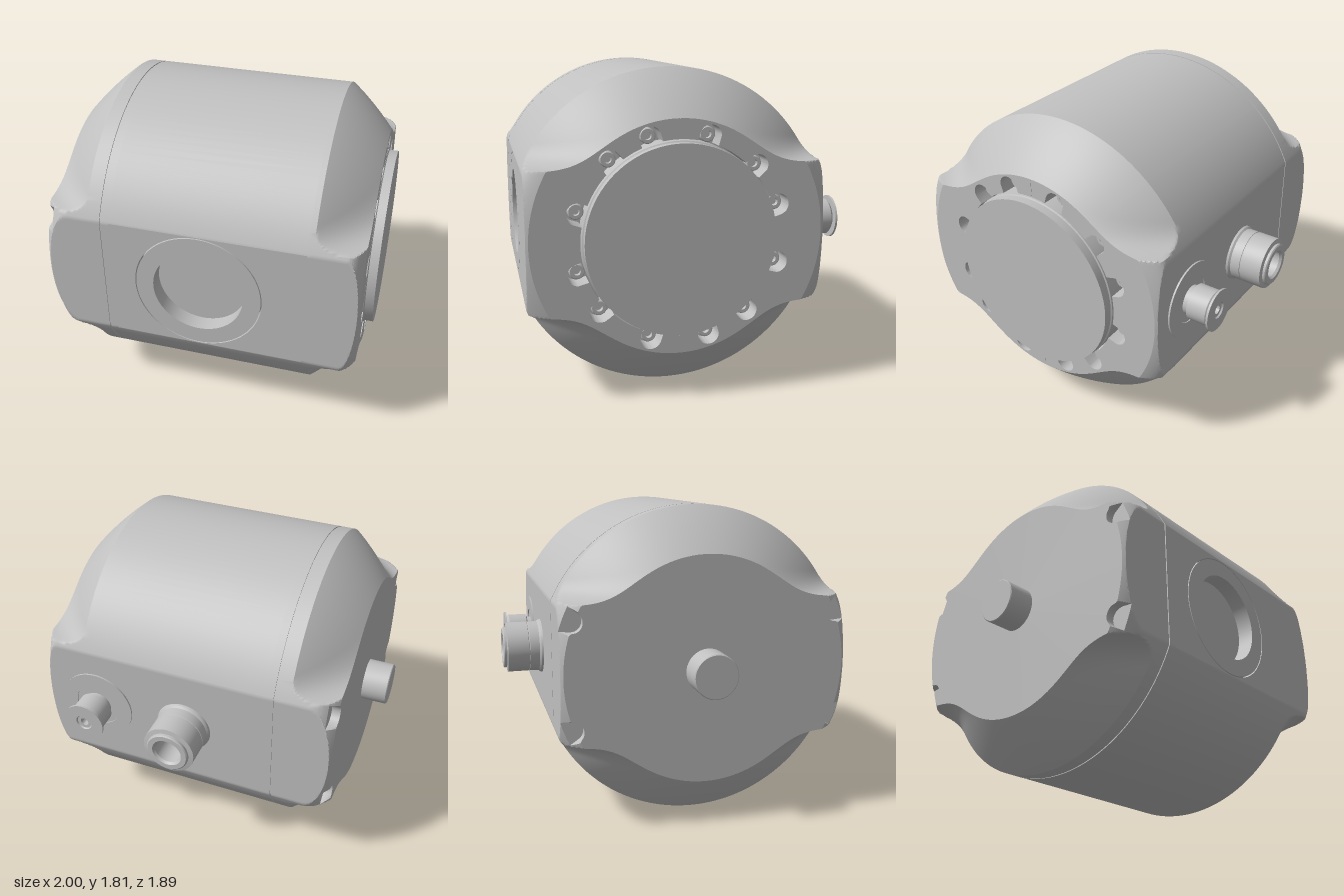
import * as THREE from 'three';
import { toCreasedNormals } from 'three/addons/utils/BufferGeometryUtils.js';

const RAD = 0.905, FLAT = 0.825, BAND = 0.395;      // drum radius, side flats, end block half height
const X0 = -0.845, X1 = 0.945, SCOOP_X = -0.795;
const PANEL = [-0.45, 0.65];                         // front panel span along x
const POCKET = 0.13;                                 // depth of the bolt pockets
const CORNER = Math.acos(FLAT / RAD);
const DEG = Math.PI / 180;

const smax = (a, b, k) => {
  const h = Math.max(k - Math.abs(a - b), 0) / k;
  return Math.max(a, b) + h * h * k / 4;
};

// Distance along a ray to a circle of radius rho centred at distance d, off by angle delta
const rayCircle = (delta, d, rho, sign) => {
  const q = rho * rho - (d * Math.sin(delta)) ** 2;
  return q < 0 || Math.cos(delta) < 0 ? null : d * Math.cos(delta) + sign * Math.sqrt(q);
};

// Radius of the housing at station x and angle a (0 = front, 90 deg = up)
function housingRadius(x, a, scooped = false, inset = 0) {
  const c = Math.abs(Math.cos(a)), s = Math.abs(Math.sin(a));
  const t = Math.max((x - 0.68) / 0.265, (-0.585 - x) / 0.26, 0);
  const shoulder = RAD - 0.255 * (0.8 * t + 0.2 * t * t);
  const round = RAD - 0.095 * Math.max((x - 0.86) / 0.085, (-0.7 - x) / 0.145, 0) ** 2;
  let r = Math.min(FLAT / Math.max(c, 1e-6), round, smax(shoulder, BAND / Math.max(s, 1e-6), 0.2));
  if (scooped) {
    const near = rayCircle(Math.atan2(s, c) - Math.atan2(0.305, 0.76), 0.819, 0.06, -1);
    if (near !== null) r = Math.min(r, near);
  }
  return r - inset;
}

// Angles with extra samples around the flats and the block walls
function angleList() {
  const q = [];
  for (let i = 0; i < 30; i++) q.push(CORNER * i / 30);
  for (let i = 0; i < 34; i++) q.push(CORNER + (50 * DEG - CORNER) * i / 34);
  for (let i = 0; i < 14; i++) q.push(50 * DEG + 40 * DEG * i / 14);
  const half = [...q, Math.PI / 2, ...q.slice(1).reverse().map(a => Math.PI - a)];
  return [...half, Math.PI, ...half.slice(1).reverse().map(a => 2 * Math.PI - a), 2 * Math.PI];
}

function housingGeometry(angles) {
  const st = [];
  const add = (x, scooped, inset) => st.push({ x, scooped, inset });
  const run = (a, b, n, scooped) => { for (let i = 0; i <= n; i++) add(a + (b - a) * i / n, scooped, 0); };
  run(X0, SCOOP_X, 16, true);
  run(SCOOP_X, -0.585, 30, false);
  add(-0.504, false, 0); add(-0.504, false, 0.006);  // seam groove
  add(-0.496, false, 0.006); add(-0.496, false, 0);
  add(PANEL[0], false, 0); add(PANEL[1], false, 0);
  run(0.68, 0.86, 20, false);
  run(0.865, X1, 32, false);

  const rings = st.map(s => angles.map(a => {
    const r = housingRadius(s.x, a, s.scooped, s.inset);
    return new THREE.Vector3(s.x, r * Math.sin(a), r * Math.cos(a));
  }));
  const pos = [];
  const tri = (a, b, c) => {
    const area = b.clone().sub(a).cross(c.clone().sub(a)).length();
    if (area > 1e-9) for (const v of [a, b, c]) pos.push(v.x, v.y, v.z);
  };
  for (let j = 0; j < rings.length - 1; j++) {
    for (let i = 0; i < angles.length - 1; i++) {
      const mid = (angles[i] + angles[i + 1]) / 2;
      const onFront = mid < CORNER || mid > 2 * Math.PI - CORNER;
      if (onFront && st[j].x === PANEL[0] && st[j + 1].x === PANEL[1]) continue;
      const a = rings[j][i], b = rings[j + 1][i], c = rings[j + 1][i + 1], d = rings[j][i + 1];
      tri(a, b, c); tri(a, c, d);
    }
  }
  // left end face
  const centre = new THREE.Vector3(X0, 0, 0);
  for (let i = 0; i < angles.length - 1; i++) tri(centre, rings[0][i], rings[0][i + 1]);
  const g = new THREE.BufferGeometry();
  g.setAttribute('position', new THREE.Float32BufferAttribute(pos, 3));
  return toCreasedNormals(g, 0.5);
}

const circle = (r) => new THREE.Path().absarc(0, 0, r, 0, Math.PI * 2, true);
const extrude = (shape, depth) => toCreasedNormals(
  new THREE.ExtrudeGeometry(shape, { depth, bevelEnabled: false, curveSegments: 64 }), 0.5);
const lathe = (pts, seg = 48) => toCreasedNormals(
  new THREE.LatheGeometry(pts.map(p => new THREE.Vector2(...p)), seg), 0.5);

export function createModel() {
  const grey = new THREE.MeshStandardMaterial({ color: 0xc0c0c0 });
  grey.name = 'machined grey';

  const model = new THREE.Group();
  model.name = 'housingAssembly';
  const body = new THREE.Group();
  body.name = 'drum';
  body.position.set(0, RAD, 0.12);
  model.add(body);
  const add = (name, geo, x = 0, y = 0, z = 0) => {
    const m = new THREE.Mesh(geo, grey);
    m.name = name;
    m.position.set(x, y, z);
    body.add(m);
  };

  const angles = angleList();
  add('housing', housingGeometry(angles));

  // front panel with a recessed round window
  const hw = (PANEL[1] - PANEL[0]) / 2, hh = FLAT * Math.tan(CORNER), cx = 0.05;
  const mid = (PANEL[0] + PANEL[1]) / 2 - cx;
  const panel = new THREE.Shape([[-hw, -hh], [hw, -hh], [hw, hh], [-hw, hh]]
    .map(([x, y]) => new THREE.Vector2(x + mid, y)));
  panel.holes.push(circle(0.367));
  add('frontPanel', extrude(panel, 0.1), cx, 0, FLAT - 0.1);
  const ring = new THREE.Shape().absarc(0, 0, 0.361, 0, Math.PI * 2, false);
  ring.holes.push(circle(0.26));
  add('windowRing', extrude(ring, 0.1), cx, 0, FLAT - 0.1);
  add('windowFloor', new THREE.CircleGeometry(0.37, 64), cx, 0, FLAT - 0.095);

  // right end face, with bolt pockets cut round the cover
  const boltAngles = [16.5, 49, 73.5, 106.5, 138, 163.5, 196.5, 228.5, 253.5, 286.5, 319.3, 343.5]
    .map(a => a * DEG);
  const toShape = (r, a) => new THREE.Vector2(-r * Math.cos(a), r * Math.sin(a));
  const face = new THREE.Shape(angles.slice(0, -1).map(a => toShape(housingRadius(X1, a), a)).reverse());
  const pocket = [];
  for (let i = 0; i < 540; i++) {
    const a = i / 540 * Math.PI * 2;
    pocket.push(toShape(Math.max(0.54, ...boltAngles.map(b => rayCircle(a - b, 0.577, 0.06, 1) ?? 0)), a));
  }
  face.holes.push(new THREE.Path(pocket));
  add('endFace', extrude(face, POCKET).rotateY(Math.PI / 2), X1 - POCKET);
  add('pocketFloor', new THREE.CircleGeometry(0.66, 64).rotateY(Math.PI / 2), X1 - POCKET + 0.005);
  add('endCover', lathe([[0.532, 0], [0.532, POCKET], [0.525, POCKET + 0.005], [0.525, POCKET + 0.055],
    [0, POCKET + 0.055]], 96).rotateZ(-Math.PI / 2), X1 - POCKET);

  // socket head bolts
  const bolt = lathe([[0.043, 0], [0.043, 0.06], [0.038, 0.065], [0.021, 0.065], [0.021, 0.035], [0, 0.035]], 24)
    .rotateZ(-Math.PI / 2);
  for (const a of boltAngles) add('coverBolt', bolt, X1 - POCKET, 0.577 * Math.sin(a), 0.577 * Math.cos(a));

  // alignment marks
  for (const s of [1, -1]) {
    const start = s > 0 ? -41 * DEG : 24.5 * DEG;
    add('frontMark', new THREE.CylinderGeometry(RAD + 0.002, RAD + 0.002, 0.014, 8, 1, true, start, 16.5 * DEG)
      .rotateZ(-Math.PI / 2), cx);
    add('endMark', new THREE.BoxGeometry(0.004, 0.1, 0.012), X1, s * 0.597);
  }

  // left shaft
  add('shaft', lathe([[0.127, 0], [0.127, 0.15], [0.122, 0.155], [0, 0.155]]).rotateZ(Math.PI / 2), X0);

  // rear connectors
  add('largeConnector', lathe([
    [0.168, 0], [0.165, 0.012], [0.155, 0.022], [0.155, 0.08], [0.152, 0.082], [0.152, 0.086], [0.155, 0.088],
    [0.155, 0.215], [0.127, 0.22], [0.127, 0.234], [0.12, 0.24], [0.09, 0.24], [0.08, 0.225], [0.08, 0.1], [0, 0.1],
  ]).rotateX(-Math.PI / 2), cx, 0, -FLAT);
  add('connectorWasher', lathe([[0.225, 0], [0.225, 0.01], [0.14, 0.01], [0.14, 0.004], [0, 0.004]])
    .rotateX(-Math.PI / 2), 0.615, 0, -FLAT);
  add('smallConnector', lathe([
    [0.085, 0], [0.085, 0.03], [0.105, 0.038], [0.105, 0.155], [0.095, 0.165], [0.085, 0.172], [0.124, 0.172],
    [0.124, 0.184], [0.05, 0.184], [0.045, 0.175], [0.025, 0.175], [0.025, 0.13], [0, 0.13],
  ]).rotateX(-Math.PI / 2), 0.615, 0, -FLAT);

  return model;
}
